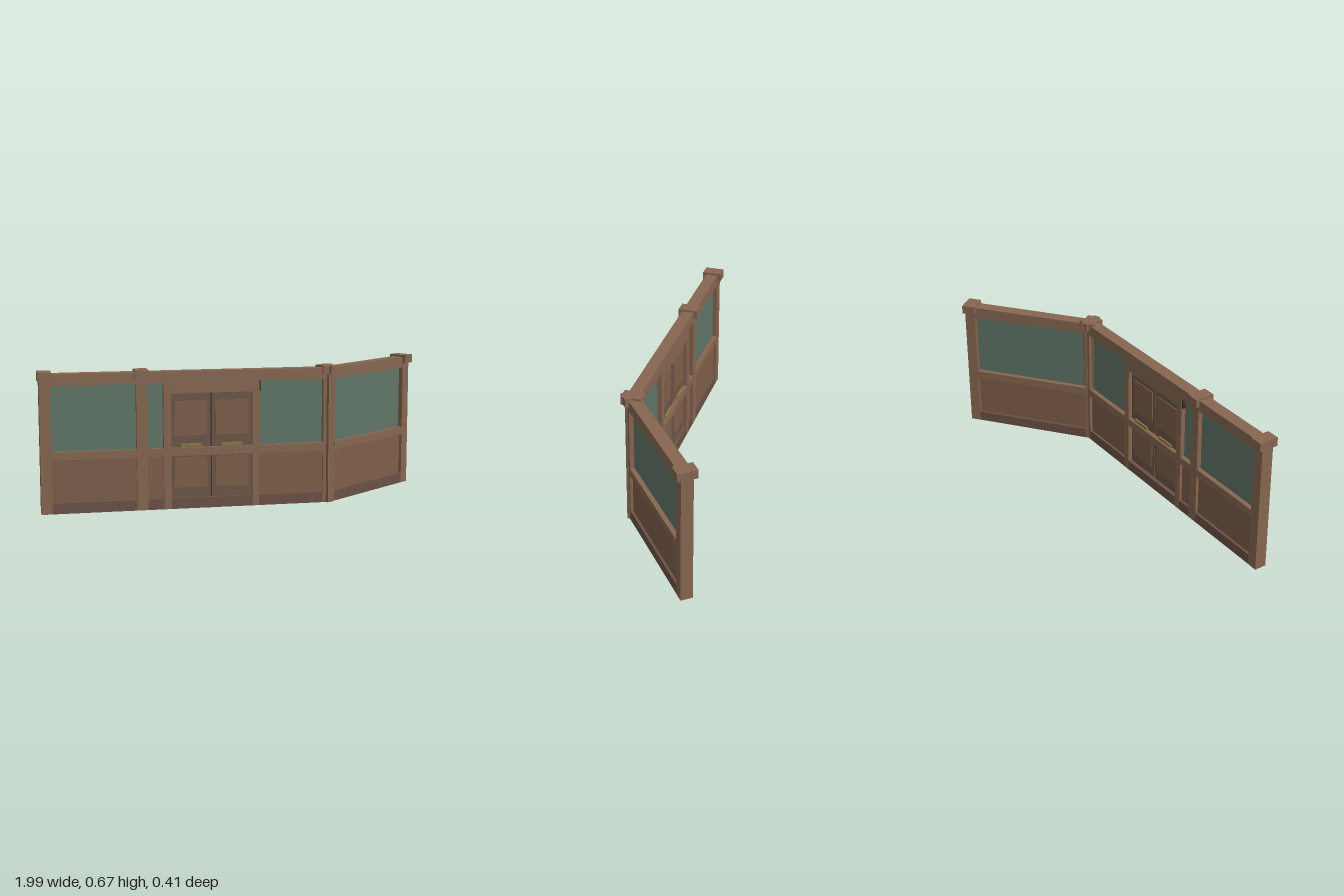
import * as THREE from 'three';

const mat = (color) => new THREE.MeshStandardMaterial({ color, flatShading: true });
const wood = mat(0x866650), panelWood = mat(0x7e5e49), baseWood = mat(0x6a5144);
const doorWood = mat(0x6c5546), glassMat = mat(0x5f7566), brass = mat(0x8a7a45), dark = mat(0x3c3029);

// Box given by its range along the wall, its height range and its depth range
function slab(parent, name, material, s0, s1, y0, y1, half, z = 0) {
  const mesh = new THREE.Mesh(new THREE.BoxGeometry(s1 - s0, y1 - y0, half * 2), material);
  mesh.position.set((s0 + s1) / 2, (y0 + y1) / 2, z);
  mesh.name = name;
  parent.add(mesh);
  return mesh;
}

// Square post with a wide cap
const POST = 0.026;
function post(parent, s) {
  const g = new THREE.Group();
  g.name = 'post';
  slab(g, 'postShaft', wood, s - POST, s + POST, 0, 0.64, 0.029);
  slab(g, 'postCap', wood, s - 0.032, s + 0.032, 0.627, 0.668, 0.0475);
  parent.add(g);
}

// Glass above a wooden panel, with a skirting at the foot
function bay(parent, s0, s1) {
  slab(parent, 'skirting', baseWood, s0, s1, 0, 0.05, 0.0285);
  slab(parent, 'lowerPanel', panelWood, s0, s1, 0.05, 0.256, 0.0155);
  slab(parent, 'glass', glassMat, s0, s1, 0.292, 0.605, 0.0065);
}

// One straight wall, local x running from start to end
function wall(name, [x0, z0], [x1, z1]) {
  const g = new THREE.Group();
  const length = Math.hypot(x1 - x0, z1 - z0);
  g.name = name;
  g.position.set(x0, 0, z0);
  g.rotation.y = -Math.atan2(z1 - z0, x1 - x0);
  post(g, 0);
  post(g, length);
  slab(g, 'topBeam', wood, POST, length - POST, 0.604, 0.658, 0.03);
  slab(g, 'middleRail', wood, POST, length - POST, 0.255, 0.293, 0.0295);
  return { g, length };
}

// Door leaf with raised panels and push bars on both faces
function doorLeaf(parent, s0, s1) {
  const leaf = new THREE.Group();
  leaf.name = 'doorLeaf';
  slab(leaf, 'doorSlab', doorWood, s0, s1, 0.05, 0.555, 0.009);
  slab(leaf, 'upperDoorPanel', panelWood, s0 + 0.018, s1 - 0.018, 0.35, 0.515, 0.014);
  slab(leaf, 'lowerDoorPanel', panelWood, s0 + 0.018, s1 - 0.018, 0.1, 0.245, 0.014);
  const mid = (s0 + s1) / 2;
  for (const side of [1, -1]) {
    slab(leaf, 'pushBar', brass, mid - 0.05, mid + 0.05, 0.298, 0.312, 0.004, side * 0.02);
  }
  parent.add(leaf);
}

export function createModel() {
  const model = new THREE.Group();
  model.name = 'partition';
  const corner = [0.375, 0.148];

  // Long wall with the double door
  const long = wall('longWall', [-0.957, -0.102], corner);
  const A = long.g, mid = 0.45;
  const jambs = [[0.552, 0.588], [0.979, 1.013]];
  post(A, mid);
  bay(A, POST, mid - POST);
  bay(A, mid + POST, jambs[0][0]);
  bay(A, jambs[1][1], long.length - POST);
  for (const [a, b] of jambs) slab(A, 'doorJamb', wood, a, b, 0, 0.61, 0.029);

  const d0 = jambs[0][1], d1 = jambs[1][0], centre = (d0 + d1) / 2;
  slab(A, 'doorLintel', wood, d0, d1, 0.553, 0.606, 0.027);
  slab(A, 'threshold', baseWood, d0, d1, 0, 0.05, 0.0285);
  slab(A, 'doorGap', dark, centre - 0.004, centre + 0.004, 0.05, 0.555, 0.005);
  doorLeaf(A, d0, centre - 0.003);
  doorLeaf(A, centre + 0.003, d1);

  // Small brackets beside the door, one on each face
  slab(A, 'bracket', dark, jambs[1][1], jambs[1][1] + 0.008, 0.555, 0.604, 0.008, 0.018);
  slab(A, 'bracket', dark, jambs[0][0] - 0.008, jambs[0][0], 0.555, 0.604, 0.008, -0.018);

  // Short wall angled back from the corner
  const short = wall('shortWall', corner, [0.943, -0.148]);
  bay(short.g, POST, short.length - POST);

  model.add(A, short.g);
  return model;
}
